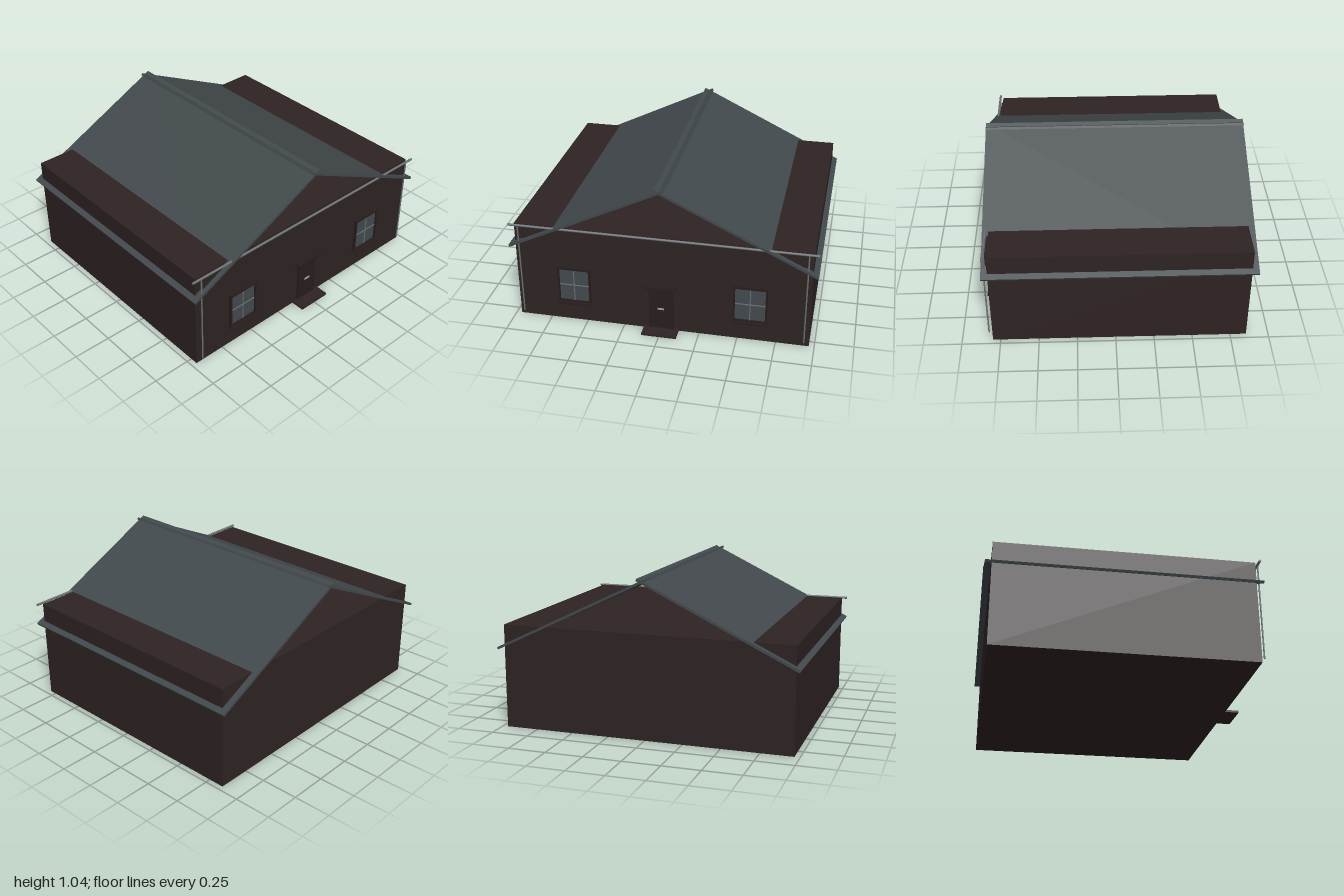
import * as THREE from 'three';

const material = (name, color) => {
  const m = new THREE.MeshStandardMaterial({ color });
  m.name = name;
  return m;
};

export function createModel() {
  const house = new THREE.Group();
  house.name = 'house';
  const brown = material('dark brown wall', 0x2e2323);
  const trim = material('brown trim', 0x281d1d);
  const slate = material('slate roof', 0x42494c);
  const glass = material('window glass', 0x434a4f);
  const grey = material('grey metal', 0x6c7173);
  const silver = material('handle metal', 0x9a9c9d);

  // Box given by its minimum and maximum on each axis
  const box = (parent, name, mat, x0, x1, y0, y1, z0, z1) => {
    const mesh = new THREE.Mesh(new THREE.BoxGeometry(x1 - x0, y1 - y0, z1 - z0), mat);
    mesh.position.set((x0 + x1) / 2, (y0 + y1) / 2, (z0 + z1) / 2);
    mesh.name = name;
    parent.add(mesh);
    return mesh;
  };

  // Main block and the fascia board across the front
  box(house, 'walls', brown, -0.965, 0.965, 0, 0.69, -0.855, 0.8);
  box(house, 'fascia', brown, -0.92, 0.92, 0.59, 0.675, 0.8, 0.812);

  // Two roof slabs that cross at the ridge and run through the block
  const angle = Math.atan2(0.498, 1.027);
  const thickness = 0.016;
  for (const s of [-1, 1]) {
    const slab = new THREE.Mesh(new THREE.BoxGeometry(1.141, thickness, 1.735), slate);
    slab.position.set(
      s * (0.4865 - Math.sin(angle) * thickness / 2),
      0.794 - Math.cos(angle) * thickness / 2,
      -0.0275
    );
    slab.rotation.z = -s * angle;
    slab.name = s > 0 ? 'roofLeft' : 'roofRight';
    house.add(slab);
  }

  // Front gutter and downpipes
  const pipe = (name, radius, length) => {
    const mesh = new THREE.Mesh(new THREE.CylinderGeometry(radius, radius, length, 12), grey);
    mesh.name = name;
    house.add(mesh);
    return mesh;
  };
  const gutter = pipe('gutter', 0.008, 1.996);
  gutter.rotation.z = Math.PI / 2;
  gutter.position.set(0, 0.688, 0.822);
  for (const s of [-1, 1]) {
    pipe('downpipe', 0.005, 0.645).position.set(s * 0.933, 0.363, 0.825);
  }

  // Windows: frame bars, pane, glazing bars and sill
  for (const s of [-1, 1]) {
    const win = new THREE.Group();
    win.name = s > 0 ? 'windowLeft' : 'windowRight';
    win.position.x = s * 0.58;
    house.add(win);
    for (const t of [-1, 1]) {
      const x = t * 0.104;
      box(win, 'frameSide', trim, x - 0.006, x + 0.006, 0.145, 0.4, 0.8, 0.816);
    }
    box(win, 'frameTop', trim, -0.11, 0.11, 0.385, 0.4, 0.8, 0.8165);
    box(win, 'frameBottom', trim, -0.11, 0.11, 0.145, 0.155, 0.8, 0.8165);
    box(win, 'sill', trim, -0.115, 0.115, 0.138, 0.147, 0.8, 0.845);
    box(win, 'pane', glass, -0.098, 0.098, 0.155, 0.385, 0.8, 0.806);
    box(win, 'glazingBarUpright', grey, -0.003, 0.003, 0.155, 0.385, 0.806, 0.811);
    box(win, 'glazingBarCross', grey, -0.098, 0.098, 0.267, 0.273, 0.806, 0.8105);
  }

  // Door with lintel, handle and step
  box(house, 'door', trim, -0.08, 0.08, 0.015, 0.322, 0.8, 0.811);
  box(house, 'lintel', trim, -0.105, 0.105, 0.32, 0.333, 0.8, 0.836);
  box(house, 'doorHandle', silver, -0.022, 0.022, 0.16, 0.17, 0.811, 0.818);
  box(house, 'step', brown, -0.115, 0.115, 0, 0.015, 0.8, 0.895);

  return house;
}
